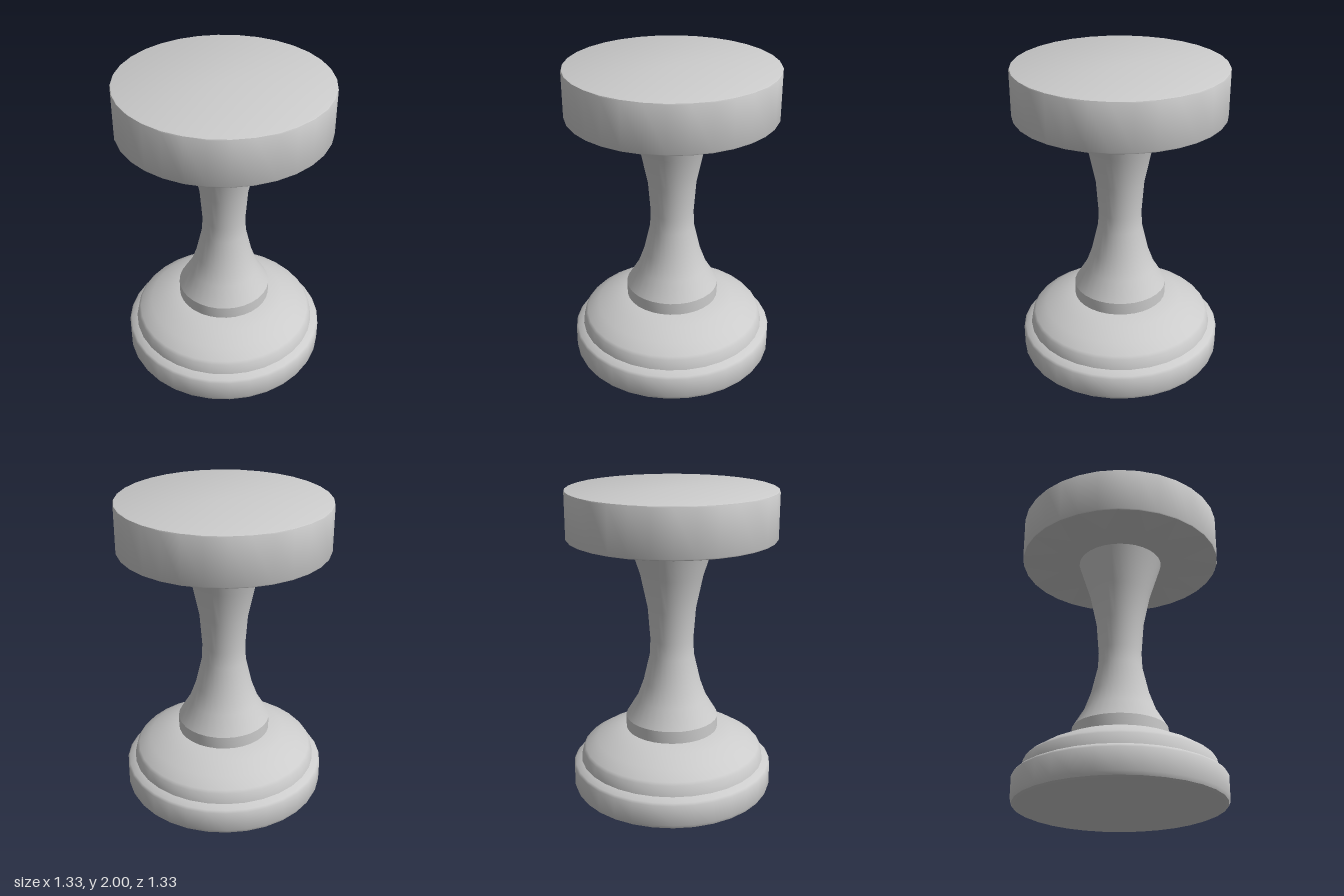
import * as THREE from 'three';
import { toCreasedNormals } from 'three/addons/utils/BufferGeometryUtils.js';

const SIDES = 32;
const material = new THREE.MeshStandardMaterial({ color: 0xcccccc });

// Turned part from [radius, height] pairs, listed bottom to top
function turned(name, profile) {
  const points = profile.map(([r, y]) => new THREE.Vector2(r, y));
  const geometry = toCreasedNormals(new THREE.LatheGeometry(points, SIDES), 0.75);
  const mesh = new THREE.Mesh(geometry, material);
  mesh.name = name;
  return mesh;
}

export function createModel() {
  const model = new THREE.Group();
  model.name = 'pedestal';

  // Rounded foot with a small step and a domed shoulder
  model.add(turned('base', [
    [0, 0], [0.635, 0], [0.655, 0.008], [0.664, 0.03],
    [0.664, 0.165], [0.652, 0.18], [0.612, 0.2],
    [0.597, 0.268], [0.582, 0.285], [0.505, 0.335], [0.405, 0.383],
    [0.305, 0.413], [0, 0.413],
  ]));

  // Short collar under the waisted column
  model.add(turned('collar', [[0.305, 0.41], [0.305, 0.495]]));

  // Column, narrowest at mid height
  model.add(turned('column', [
    [0.305, 0.495], [0.23, 0.62], [0.188, 0.735], [0.145, 0.92],
    [0.14, 1.025], [0.156, 1.235], [0.202, 1.455], [0.28, 1.697],
  ]));

  // Thick disc top with softened rims
  model.add(turned('top', [
    [0, 1.695], [0.655, 1.695], [0.662, 1.698], [0.665, 1.705],
    [0.665, 1.99], [0.662, 1.997], [0.655, 2], [0, 2],
  ]));

  return model;
}
